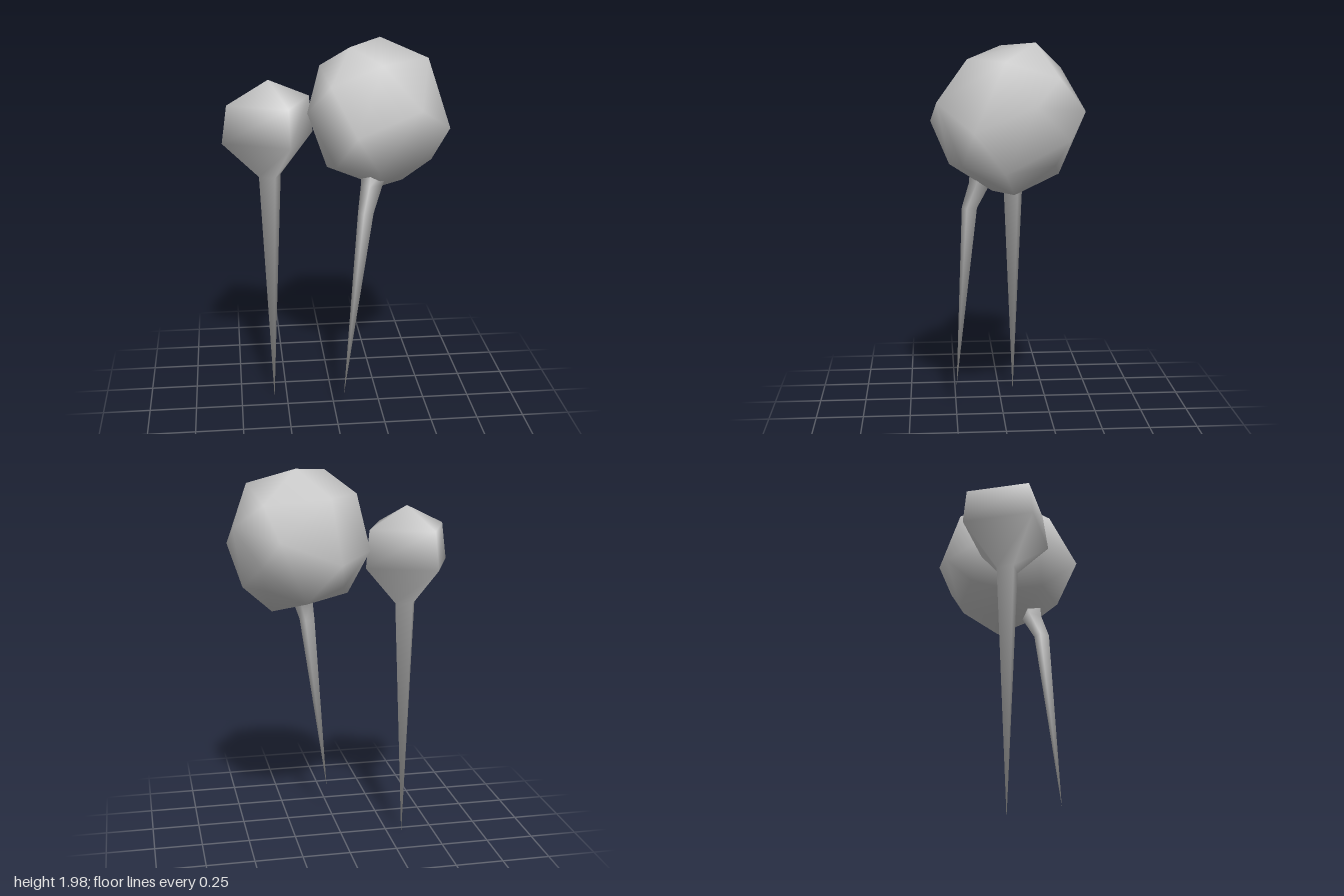
import * as THREE from 'three';
import { mergeVertices } from 'three/addons/utils/BufferGeometryUtils.js';
import { ConvexGeometry } from 'three/addons/geometries/ConvexGeometry.js';

const material = new THREE.MeshStandardMaterial({ color: 0xcccccc });

// Smooth-shaded loft through four-sided rings [x, y, z, radius], from bottom to top
function loft(name, rings, turn, sides = 4) {
  const positions = [], index = [];
  rings.forEach(([x, y, z, r], i) => {
    for (let j = 0; j < sides; j++) {
      const a = turn + (j / sides) * Math.PI * 2;
      positions.push(x + r * Math.cos(a), y, z + r * Math.sin(a));
      if (i === rings.length - 1) continue;
      const p = i * sides + j, q = i * sides + (j + 1) % sides;
      index.push(p, p + sides, q, q, p + sides, q + sides);
    }
  });
  let geometry = new THREE.BufferGeometry();
  geometry.setAttribute('position', new THREE.Float32BufferAttribute(positions, 3));
  geometry.setIndex(index);
  geometry = mergeVertices(geometry);
  geometry.computeVertexNormals();
  const mesh = new THREE.Mesh(geometry, material);
  mesh.name = name;
  return mesh;
}

// Smooth-shaded faceted ball around a few points
function ball(name, points) {
  let geometry = new ConvexGeometry(points.map((p) => new THREE.Vector3(...p)));
  geometry.deleteAttribute('normal');
  geometry = mergeVertices(geometry);
  geometry.computeVertexNormals();
  const mesh = new THREE.Mesh(geometry, material);
  mesh.name = name;
  return mesh;
}

export function createModel() {
  const model = new THREE.Group();
  model.name = 'twoStemmedBalls';

  // Small square head drawn out into a long pointed stem
  model.add(loft('smallHeadAndStem', [
    [-0.32, 0.02, -0.075, 0],
    [-0.32, 1.31, -0.075, 0.062],
    [-0.325, 1.51, -0.08, 0.255],
    [-0.32, 1.70, -0.085, 0.23],
    [-0.32, 1.805, -0.085, 0],
  ], THREE.MathUtils.degToRad(67)));

  // Large head: upper, middle and lower belts
  model.add(ball('largeHead', [
    [0.25, 2.0, -0.14], [0.08, 1.98, 0.02], [0.47, 1.92, 0.02], [0.22, 1.92, 0.19],
    [-0.06, 1.87, -0.1], [0.1, 1.87, -0.28], [0.42, 1.84, -0.24], [-0.03, 1.82, 0.2],
    [0.06, 1.56, -0.35], [0.36, 1.68, -0.37], [0.44, 1.55, -0.29], [0.555, 1.72, -0.12],
    [0.56, 1.6, 0.17], [0.39, 1.73, 0.34], [0.08, 1.61, 0.37], [-0.14, 1.68, 0.12],
    [-0.11, 1.6, -0.19],
    [-0.03, 1.36, -0.03], [0.22, 1.36, -0.26], [0.5, 1.4, 0.02], [0.2, 1.41, 0.28],
    [0.23, 1.28, 0.07], [0.36, 1.28, -0.03], [0, 1.41, 0.16], [0.42, 1.43, -0.22],
    [0.38, 1.42, 0.22], [0.03, 1.43, -0.22],
  ]));

  // Bent, pointed stem under the large head
  model.add(loft('largeStem', [
    [0.03, 0.195, 0.25, 0],
    [0.145, 1.18, 0.18, 0.04],
    [0.18, 1.31, 0.13, 0.055],
    [0.2, 1.42, 0.1, 0.08],
  ], THREE.MathUtils.degToRad(20)));

  return model;
}
